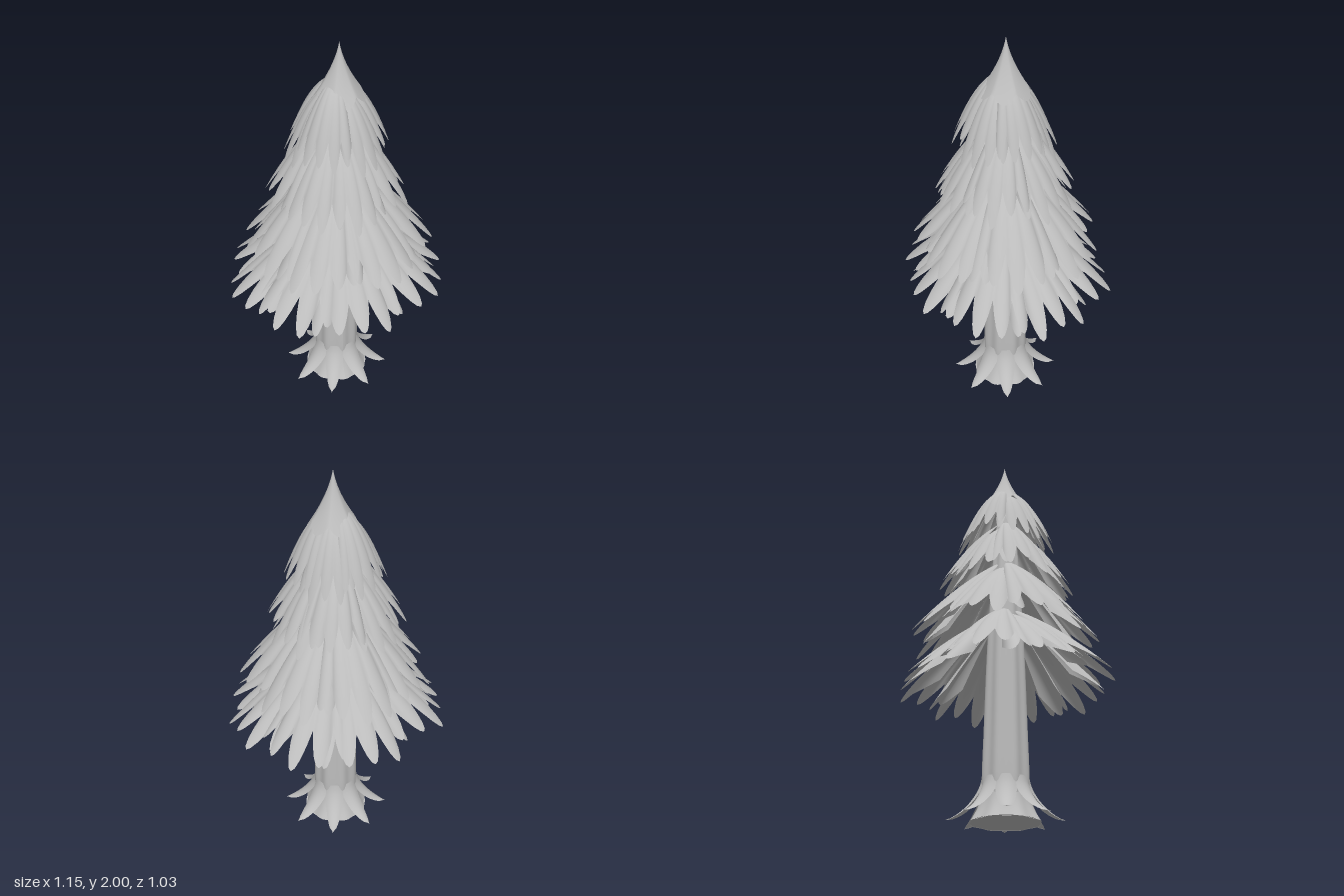
import * as THREE from 'three';

const grey = new THREE.MeshStandardMaterial({ color: 0xbcbcbc, side: THREE.DoubleSide });
grey.name = 'grey';

let seed = 7;
const rand = () => {
  seed = (seed * 16807) % 2147483647;
  return seed / 2147483647;
};

// Grid surface: point(u, t) with u and t from 0 to 1
function surface(name, nu, nt, point) {
  const pos = [], idx = [];
  for (let j = 0; j <= nt; j++)
    for (let i = 0; i <= nu; i++) pos.push(...point(i / nu, j / nt));
  for (let j = 0; j < nt; j++)
    for (let i = 0; i < nu; i++) {
      const a = j * (nu + 1) + i, b = a + nu + 1;
      idx.push(a, b, a + 1, a + 1, b, b + 1);
    }
  const g = new THREE.BufferGeometry();
  g.setAttribute('position', new THREE.Float32BufferAttribute(pos, 3));
  g.setIndex(idx);
  g.computeVertexNormals();
  const mesh = new THREE.Mesh(g, grey);
  mesh.name = name;
  return mesh;
}

const polar = (r, a, y) => [Math.sin(a) * r, y, Math.cos(a) * r];

// Drooping fan of needles: arched across, with a fingered, ridged edge
function frond(angle, { top, tip, radius, half, fingers, bend, droop }, lift) {
  const lengths = Array.from({ length: fingers }, () => (rand() - 0.5) * 0.1);
  const skew = (rand() - 0.5) * 0.16;
  const r0 = 0.04;
  return surface('frond', fingers * 8, 10, (u, t) => {
    const v = u * 2 - 1;
    const k = Math.min(fingers - 1, Math.floor(u * fingers));
    const bump = Math.max(0, Math.sin(Math.PI * (u * fingers - k)));
    const len = (1 - 0.2 * v * v) * (0.74 + (0.26 + lengths[k]) * bump);
    const s = t * len;
    const a = angle + v * half + skew * t;
    const r = r0 + (radius - r0) * s;
    const fall = (1 - bend) * s + bend * s * s;
    const y = top + lift - (top - tip) * fall
      + 0.025 * bump * t * t - droop * v * v * t;
    return polar(r, a, y);
  });
}

function tier(name, spec) {
  const group = new THREE.Group();
  group.name = name;
  for (let i = 0; i < spec.count; i++) {
    const a = spec.turn + (i / spec.count) * Math.PI * 2 + (rand() - 0.5) * 0.1;
    group.add(frond(a, spec, (i % 2) * 0.03 - 0.015));
  }
  group.scale.z = spec.depth;
  return group;
}

export function createModel() {
  const tree = new THREE.Group();
  tree.name = 'pineTree';

  // Fluted trunk, narrowing inside the foliage
  const trunkCurve = new THREE.CatmullRomCurve3([
    [0.112, 0.1], [0.115, 0.2], [0.108, 0.45], [0.1, 0.75], [0.085, 1.1], [0.06, 1.5], [0.03, 1.78],
  ].map(([r, y]) => new THREE.Vector3(r, y, 0)));
  tree.add(surface('trunk', 64, 16, (u, t) => {
    const p = trunkCurve.getPoint(1 - t), a = u * Math.PI * 2;
    return polar(p.x * (1 + 0.045 * Math.cos(8 * a)), a, p.y);
  }));

  // Lobed foot and its underside
  tree.add(surface('foot', 64, 8, (u, t) => {
    const a = u * Math.PI * 2;
    const r = 0.108 + 0.06 * t * t;
    return polar(r * (1 + 0.04 * t * Math.cos(8 * a)), a, 0.19 * (1 - t));
  }));
  const sole = new THREE.Mesh(new THREE.CircleGeometry(0.168, 32).rotateX(Math.PI / 2), grey);
  sole.name = 'sole';
  sole.position.y = 0.002;
  tree.add(sole);

  // Pointed bark flaps curling out over the foot
  for (let i = 0; i < 8; i++) {
    const a0 = (i + 0.5) * Math.PI / 4;
    tree.add(surface('barkFlap', 10, 10, (u, t) => {
      const v = u * 2 - 1;
      const w = 0.055 * Math.pow(1 - t, 0.6) * (1 + 0.35 * t);
      const r = 0.115 + 0.168 * Math.pow(t, 1.5) - 0.016 * v * v * (1 - t * 0.5);
      const y = 0.21 - 0.195 * (1 - Math.pow(1 - t, 1.4)) - 0.015 * v * v * (1 - t);
      const c = Math.cos(a0), s = Math.sin(a0);
      return [s * r + c * v * w, y, c * r - s * v * w];
    }));
  }

  // Four overlapping tiers of foliage, bottom to top
  const tiers = [
    { top: 1.09, tip: 0.65, radius: 0.58, count: 8, half: 0.58, fingers: 5, bend: 0.35, turn: 0.06, depth: 0.91, droop: 0.11 },
    { top: 1.36, tip: 0.88, radius: 0.48, count: 7, half: 0.64, fingers: 5, bend: 0.35, turn: 0.4, depth: 1.02, droop: 0.1 },
    { top: 1.6, tip: 1.17, radius: 0.355, count: 7, half: 0.66, fingers: 5, bend: 0.5, turn: 0.1, depth: 1.0, droop: 0.08 },
    { top: 1.8, tip: 1.42, radius: 0.26, count: 6, half: 0.74, fingers: 5, bend: 0.75, turn: 0.5, depth: 1.0, droop: 0.06 },
  ];
  tiers.forEach((spec, i) => tree.add(tier('foliageTier' + (i + 1), spec)));

  // Flared, scalloped cap drawn up to a point
  const cap = surface('cap', 64, 12, (u, t) => {
    const a = u * Math.PI * 2;
    const lobe = Math.abs(Math.cos(3 * a));
    const r = 0.118 * (0.4 * t + 0.6 * t * t) * (1 + t * (0.16 * lobe - 0.1));
    return polar(r, a, 2 - 0.24 * Math.pow(t, 0.95) - 0.045 * t * t * lobe);
  });
  cap.position.x = 0.012;
  tree.add(cap);

  return tree;
}
